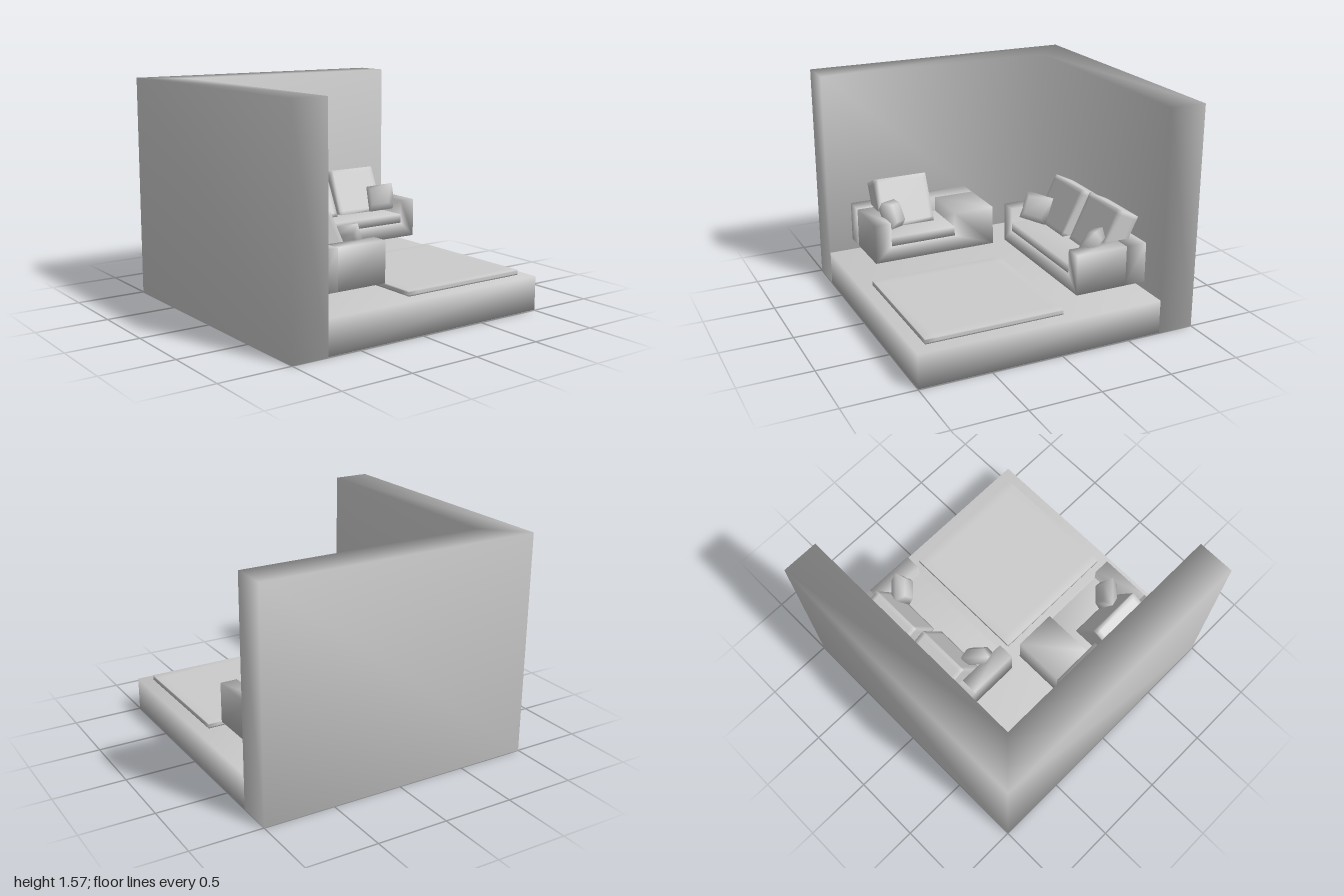
import * as THREE from 'three';
import { mergeVertices } from 'three/addons/utils/BufferGeometryUtils.js';

const material = new THREE.MeshStandardMaterial({ color: 0xcccccc });

// Weld corners so that normals blend over the edges
function smooth(geometry) {
  geometry.deleteAttribute('uv');
  geometry.deleteAttribute('normal');
  const welded = mergeVertices(geometry, 1e-4);
  welded.computeVertexNormals();
  return welded;
}

function add(parent, name, geometry, x = 0, y = 0, z = 0) {
  const mesh = new THREE.Mesh(smooth(geometry), material);
  mesh.name = name;
  mesh.position.set(x, y, z);
  parent.add(mesh);
  return mesh;
}

// Box given by its extents on each axis
function addBlock(parent, name, [x0, x1], [y0, y1], [z0, z1]) {
  return add(parent, name, new THREE.BoxGeometry(x1 - x0, y1 - y0, z1 - z0),
    (x0 + x1) / 2, (y0 + y1) / 2, (z0 + z1) / 2);
}

function extrude(points, depth) {
  const shape = new THREE.Shape(points.map(([x, y]) => new THREE.Vector2(x, y)));
  return new THREE.ExtrudeGeometry(shape, { depth, bevelEnabled: false });
}

// Box with support loops close to its edges, so that its faces stay flat
function softBox(w, h, d, inset) {
  const geometry = new THREE.BoxGeometry(w, h, d, 3, 3, 3);
  const p = geometry.attributes.position;
  const size = [w, h, d];
  for (let i = 0; i < p.count; i++) {
    size.forEach((s, axis) => {
      const v = p.getComponent(i, axis);
      if (Math.abs(v) < s * 0.4) {
        p.setComponent(i, axis, Math.sign(v) * (s / 2 - Math.min(inset, s * 0.3)));
      }
    });
  }
  return geometry;
}

// Square pillow, widest at its middle seam
function pillowGeometry(size, thickness) {
  const geometry = new THREE.BoxGeometry(size, size, thickness, 1, 1, 2);
  const p = geometry.attributes.position;
  for (let i = 0; i < p.count; i++) {
    const k = Math.abs(p.getZ(i)) > 0.01 ? 0.62 : 1;
    p.setXY(i, p.getX(i) * k, p.getY(i) * k);
  }
  return geometry;
}

function createSofa({ width, leftArm, rightArm, legX, cushions, pillows }) {
  const sofa = new THREE.Group();
  const w = width / 2, l = -w + leftArm, r = w - rightArm;
  const front = 0.26, back = -0.26, seatBack = -0.11;

  // Arms and base as one U-shaped block, with the backrest behind
  add(sofa, 'armsAndBase', extrude([
    [-w, 0.34], [w, 0.34], [w, 0.62], [r, 0.62], [r, 0.45], [l, 0.45], [l, 0.62], [-w, 0.62],
  ], front - seatBack), 0, 0, seatBack);
  addBlock(sofa, 'backrest', [-w, w], [0.34, 0.62], [back, seatBack]);
  addBlock(sofa, 'seatCushion', [l, r], [0.45, 0.515], [seatBack, front - 0.003]);
  addBlock(sofa, 'leg', [legX - 0.04, legX + 0.04], [0.24, 0.34], [-0.21, -0.11]);

  // Leaning back cushions
  for (const [x, z] of cushions) {
    add(sofa, 'backCushion', softBox(0.395, 0.355, 0.16, 0.03), x, 0.64, z).rotation.x = -0.45;
  }
  // Small pillows turned inward from the arms
  for (const [x, z] of pillows) {
    const pillow = add(sofa, 'pillow', pillowGeometry(0.2, 0.11), x, 0.62, z);
    pillow.rotation.set(-0.4, -Math.sign(x) * 0.85, Math.sign(x) * 0.2, 'YXZ');
  }
  return sofa;
}

export function createModel() {
  const room = new THREE.Group();
  room.name = 'livingRoom';

  // L-shaped walls
  add(room, 'walls', extrude([
    [-1, -1], [-0.74, -1], [-0.74, 0.74], [1, 0.74], [1, 1], [-1, 1],
  ], 1.57).rotateX(-Math.PI / 2));

  addBlock(room, 'floor', [-0.74, 1], [0.004, 0.243], [-0.74, 1]);
  add(room, 'rug', softBox(0.965, 0.035, 0.965, 0.07), 0.43, 0.266, 0.432);

  // Long sofa along the back wall
  const longSofa = createSofa({
    width: 1.08, leftArm: 0.12, rightArm: 0.12, legX: 0.28,
    cushions: [[-0.22, -0.09], [0.225, -0.115]],
    pillows: [[-0.365, 0.09], [0.38, 0.06]],
  });
  longSofa.name = 'longSofa';
  longSofa.position.set(0.33, 0, -0.43);

  // Short sofa along the side wall, with one wide arm
  const shortSofa = createSofa({
    width: 0.9, leftArm: 0.12, rightArm: 0.3, legX: 0.37,
    cushions: [[-0.13, -0.08]],
    pillows: [[-0.26, 0.09]],
  });
  shortSofa.name = 'shortSofa';
  shortSofa.position.set(-0.445, 0, 0.387);
  shortSofa.rotation.y = Math.PI / 2;

  room.add(longSofa, shortSofa);
  return room;
}
